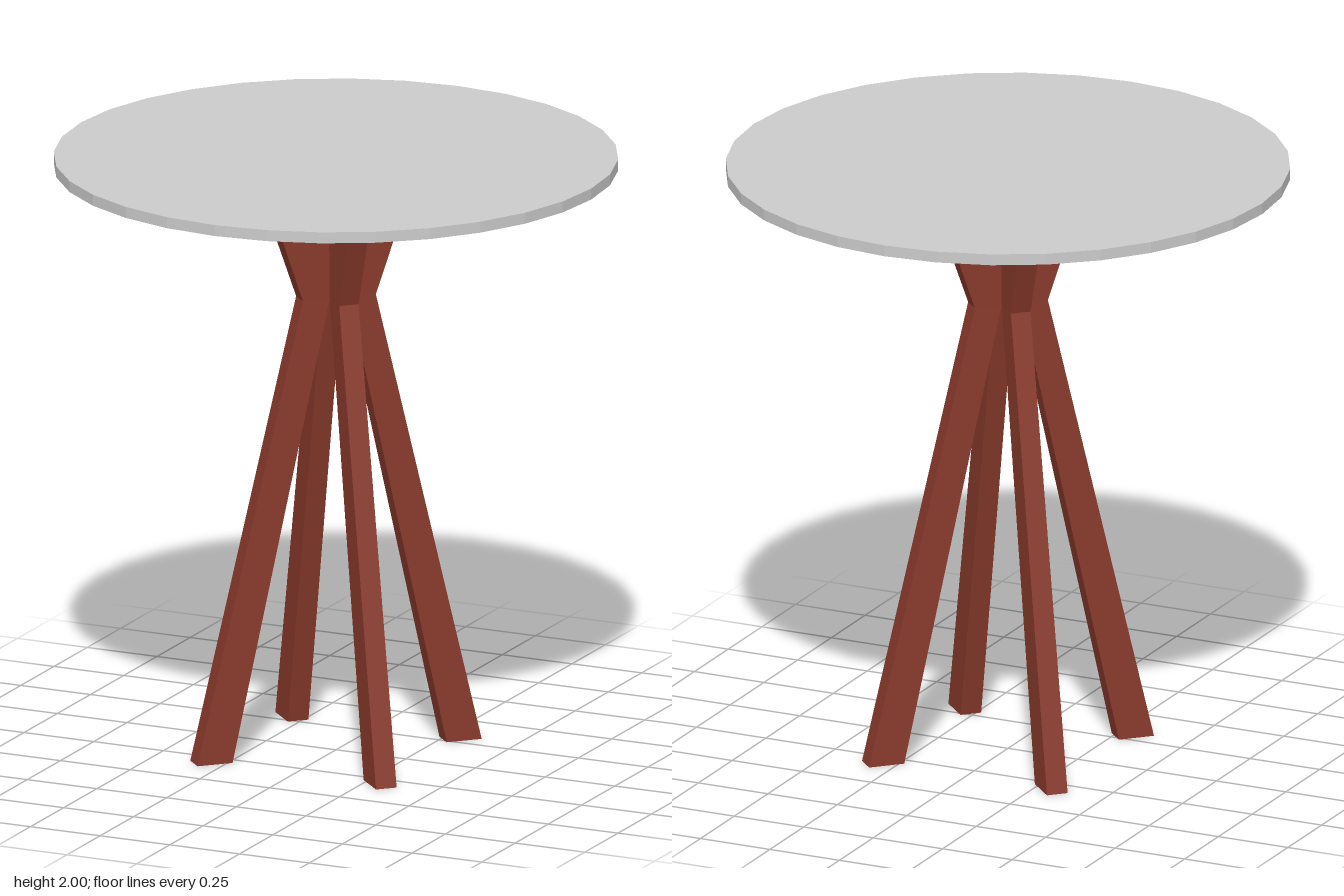
import * as THREE from 'three';

// One leg lofted through rectangular sections that are turned 45 degrees to the axes
function legGeometry() {
  // y, then the outer, middle and inner x of each section's corners
  const sections = [
    [0, 0.37, 0.32, 0.235],
    [1.53, 0.112, 0.065, 0],
    [1.87, 0.198, 0.143, 0],
  ];
  const points = [];
  for (const [y, outer, mid, inner] of sections) {
    const side = outer + inner - mid;
    points.push(outer, y, mid, mid, y, outer, inner, y, side, side, y, inner);
  }
  const index = [0, 1, 2, 0, 2, 3];
  for (let s = 0; s < sections.length - 1; s++) {
    for (let i = 0; i < 4; i++) {
      const a = s * 4 + i;
      const b = s * 4 + ((i + 1) % 4);
      index.push(a, a + 4, b, b, a + 4, b + 4);
    }
  }
  const t = (sections.length - 1) * 4;
  index.push(t, t + 2, t + 1, t, t + 3, t + 2);
  const indexed = new THREE.BufferGeometry();
  indexed.setAttribute('position', new THREE.Float32BufferAttribute(points, 3));
  indexed.setIndex(index);
  const geometry = indexed.toNonIndexed();
  geometry.computeVertexNormals();
  return geometry;
}

export function createModel() {
  const model = new THREE.Group();
  model.name = 'pedestalTable';

  const topMaterial = new THREE.MeshStandardMaterial({ color: 0xcccccc, flatShading: true });
  const woodMaterial = new THREE.MeshStandardMaterial({ color: 0x8a3a2c, flatShading: true });

  // Round top with a thin rim and a shallow conical underside
  const profile = [[0, 1.863], [0.22, 1.863], [0.915, 1.963], [0.915, 2], [0, 2]];
  const top = new THREE.Mesh(
    new THREE.LatheGeometry(profile.map(([r, y]) => new THREE.Vector2(r, y)), 32),
    topMaterial
  );
  top.name = 'tableTop';
  model.add(top);

  // Four splayed legs that meet at a waist and flare out under the top
  const geometry = legGeometry();
  const legs = new THREE.Group();
  legs.name = 'legs';
  for (let i = 0; i < 4; i++) {
    const leg = new THREE.Mesh(geometry, woodMaterial);
    leg.name = `leg${i + 1}`;
    leg.rotation.y = (i * Math.PI) / 2;
    legs.add(leg);
  }
  model.add(legs);

  return model;
}
